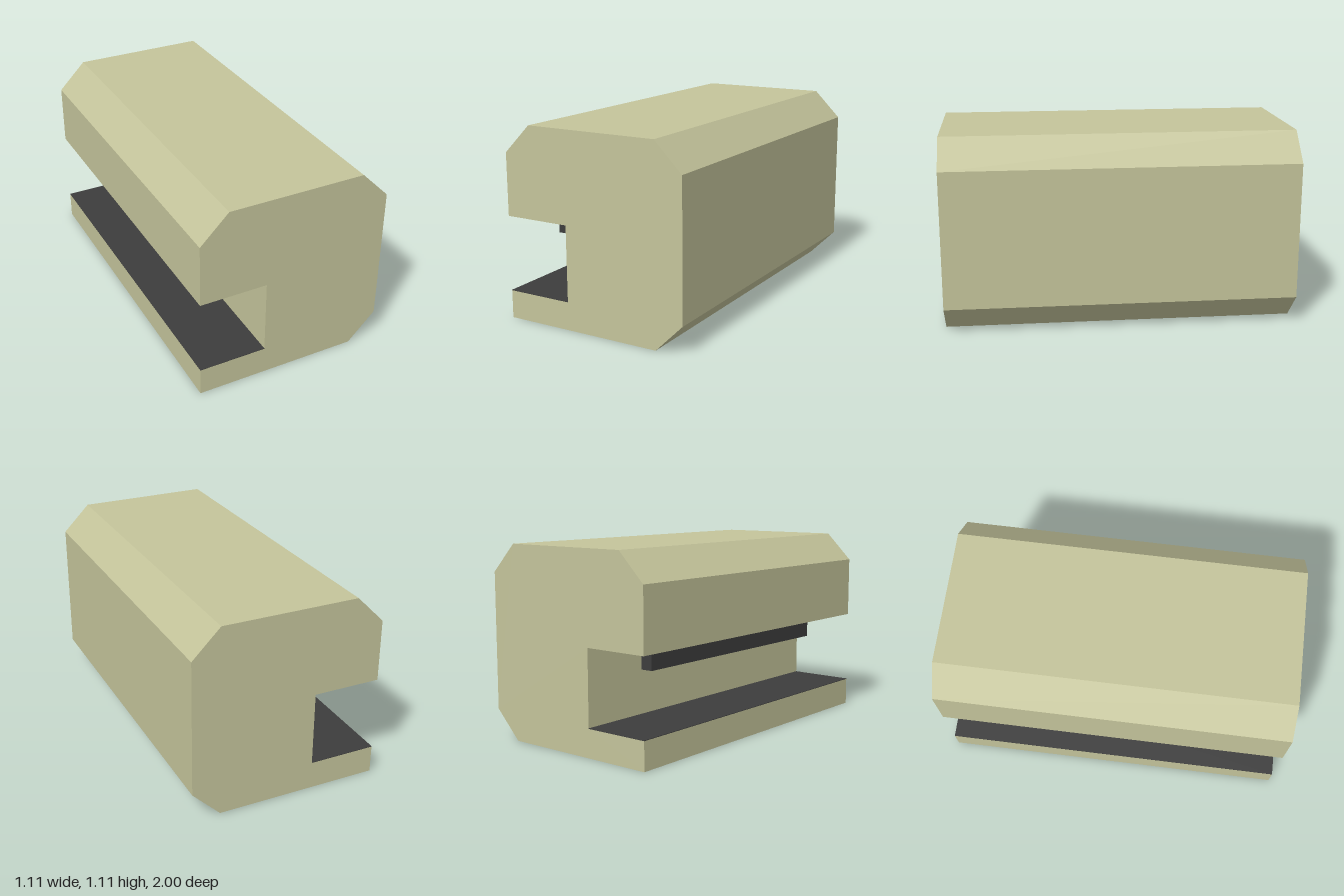
import * as THREE from 'three';

export function createModel() {
  const model = new THREE.Group();
  model.name = 'slottedBeam';

  const olive = new THREE.MeshStandardMaterial({ color: 0xc4c49b });
  olive.name = 'olive';
  const charcoal = new THREE.MeshStandardMaterial({ color: 0x3d3d3d });
  charcoal.name = 'charcoal';

  const half = 0.553, flat = 0.392, height = 1.106, length = 2;
  const slotX = -0.165, slotFloor = 0.16, slotRoof = 0.59;

  // Chamfered profile with a slot along its right side
  const profile = new THREE.Shape([
    [-half, 0], [flat, 0], [half, 0.162], [half, 0.945],
    [flat, height], [-flat, height], [-half, 0.945], [-half, slotRoof],
    [slotX, slotRoof], [slotX, slotFloor], [-half, slotFloor],
  ].map(([x, y]) => new THREE.Vector2(x, y)));
  const bodyGeometry = new THREE.ExtrudeGeometry(profile, { depth: length, bevelEnabled: false });
  bodyGeometry.translate(0, 0, -length / 2);

  const add = (name, geometry, material, x = 0, y = 0, z = 0) => {
    const mesh = new THREE.Mesh(geometry, material);
    mesh.name = name;
    mesh.position.set(x, y, z);
    model.add(mesh);
  };

  add('body', bodyGeometry, olive);

  // Thin dark lining on the slot floor
  const width = slotX + half;
  add('slotFloorLining', new THREE.BoxGeometry(width, 0.003, length), charcoal,
    slotX - width / 2, slotFloor + 0.0015);

  // Dark strip hanging from the slot roof, set in from both ends
  add('hangingStrip', new THREE.BoxGeometry(0.07, 0.13, 1.52), charcoal, -0.36, 0.525);

  return model;
}
